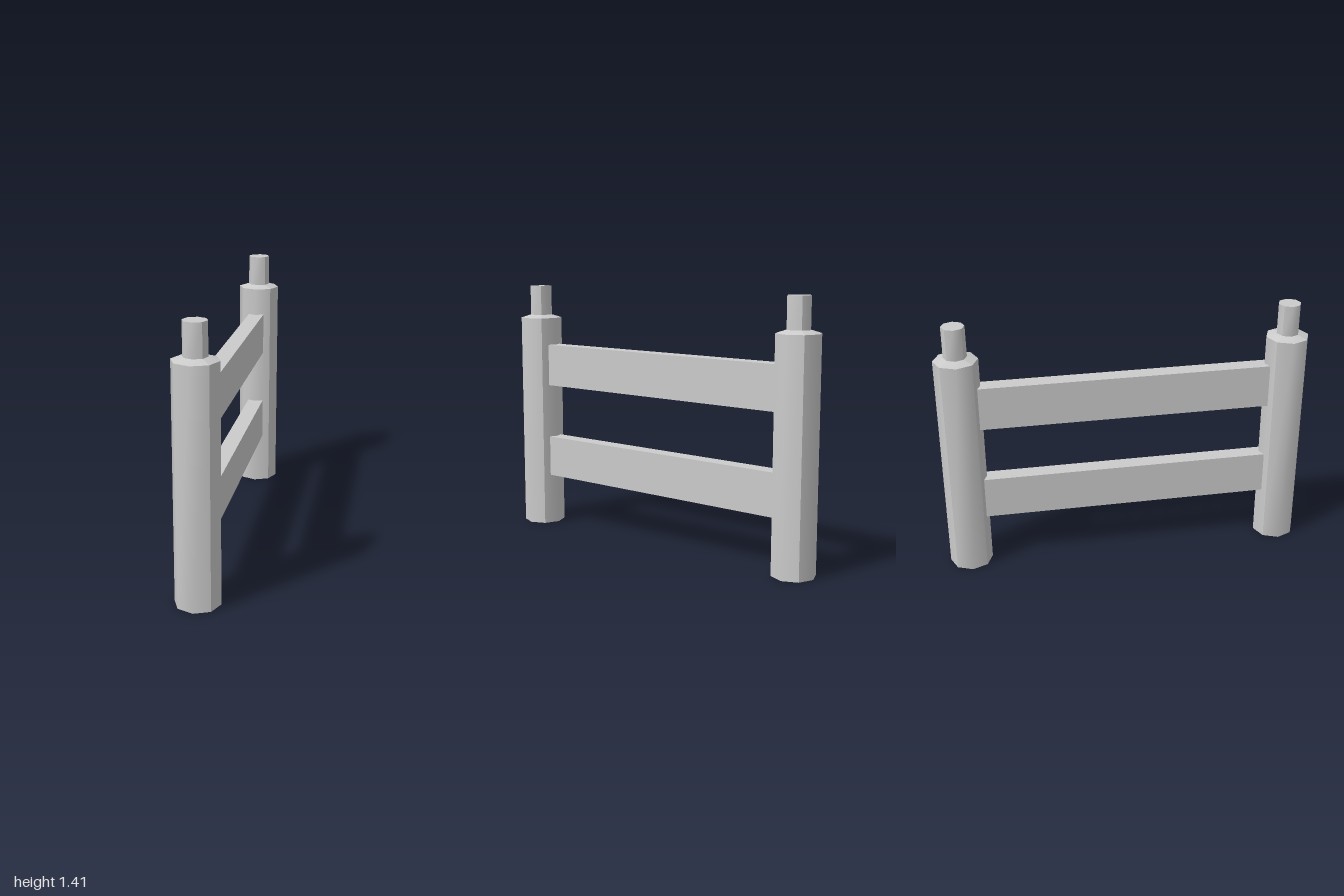
import * as THREE from 'three';
import { mergeGeometries } from 'three/addons/utils/BufferGeometryUtils.js';

const material = new THREE.MeshStandardMaterial({ color: 0xcccccc });

// Eight-sided wall in four quarters: creased on the diagonals, soft on the axes
function octagonWall(rTop, rBottom, y0, y1) {
  const quarters = [];
  for (let i = 0; i < 4; i++) {
    const g = new THREE.CylinderGeometry(rTop, rBottom, y1 - y0, 2, 1, true, Math.PI / 4 + i * Math.PI / 2, Math.PI / 2);
    g.computeVertexNormals();
    quarters.push(g.translate(0, (y0 + y1) / 2, 0));
  }
  return mergeGeometries(quarters);
}

// Flat octagon closing an end, facing up (dir = 1) or down (dir = -1)
function octagonCap(r, y, dir) {
  return new THREE.CircleGeometry(r, 8).rotateX(-dir * Math.PI / 2).translate(0, y, 0);
}

function addMesh(parent, name, geometry) {
  const mesh = new THREE.Mesh(geometry, material);
  mesh.name = name;
  parent.add(mesh);
  return mesh;
}

export function createModel() {
  const model = new THREE.Group();
  model.name = 'fenceSection';
  const postR = 0.117, pegR = 0.061, shoulderY = 1.225, pegY = 1.242, topY = 1.41;

  // Posts with a sloped shoulder and a peg on top
  for (const [side, z] of [['front', 1 - postR], ['back', postR - 1]]) {
    const post = new THREE.Group();
    post.name = side + 'Post';
    post.position.z = z;
    addMesh(post, side + 'PostShaft', mergeGeometries([octagonWall(postR, postR, 0, shoulderY), octagonCap(postR, 0, -1)]));
    addMesh(post, side + 'PostShoulder', octagonWall(pegR, postR, shoulderY, pegY));
    addMesh(post, side + 'PostPeg', mergeGeometries([octagonWall(pegR, pegR, pegY, topY), octagonCap(pegR, topY, 1)]));
    model.add(post);
  }

  // Two flat rails between the posts
  for (const [name, y0, y1] of [['lowerRail', 0.292, 0.525], ['upperRail', 0.832, 1.07]]) {
    addMesh(model, name, new THREE.BoxGeometry(0.09, y1 - y0, 1.574)).position.y = (y0 + y1) / 2;
  }
  return model;
}
